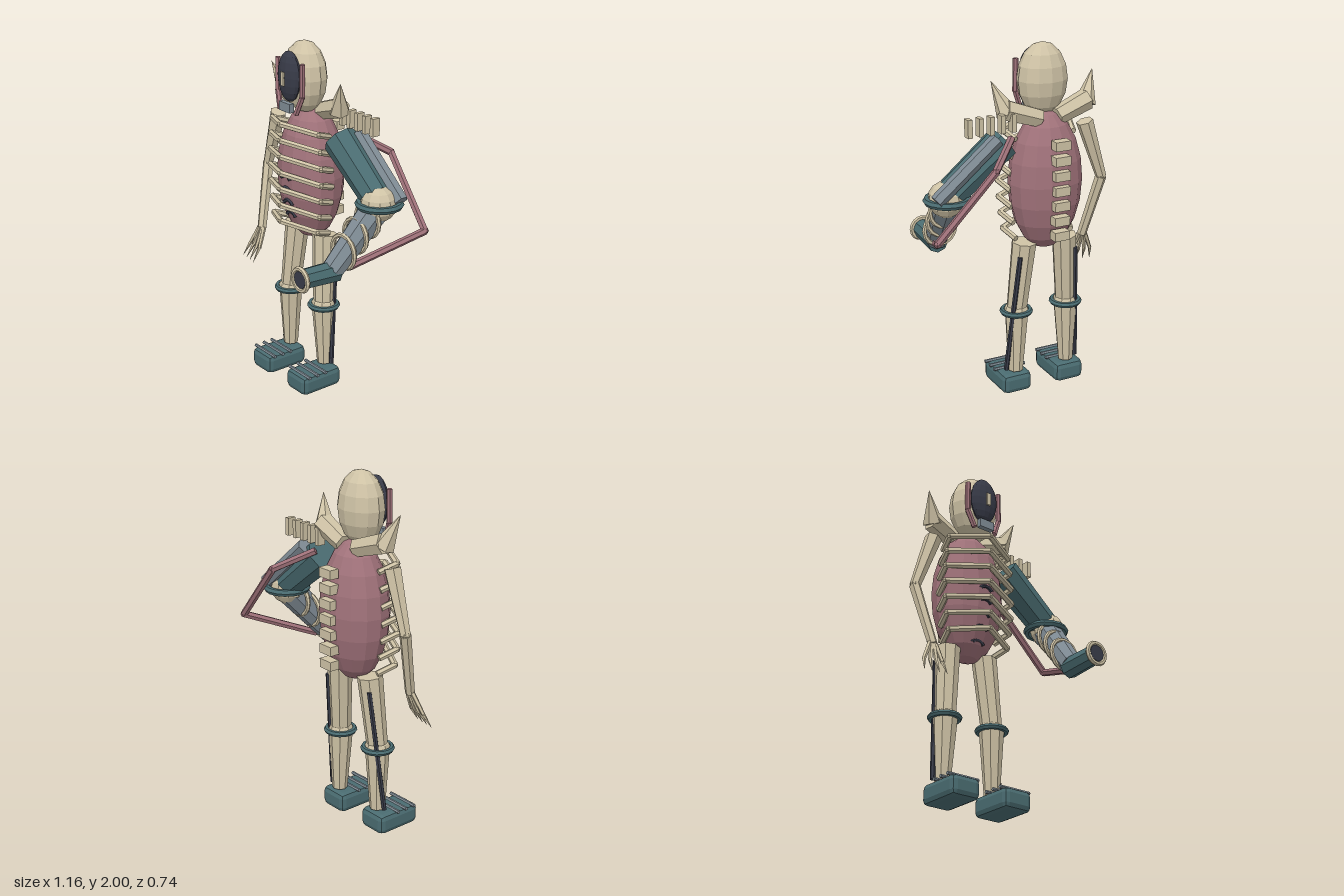
import * as THREE from 'three';
import { RoundedBoxGeometry } from 'three/addons/geometries/RoundedBoxGeometry.js';

const CX = -0.17; // centre line of the body

export function createModel() {
  const model = new THREE.Group();
  model.name = 'armouredSkeleton';
  const colour = (name, hex) => {
    const m = new THREE.MeshStandardMaterial({ color: hex });
    m.name = name;
    return m;
  };
  const bone = colour('bone', 0xcfc3a6);
  const flesh = colour('flesh', 0xa0727a);
  const teal = colour('teal', 0x4a6c71);
  const steel = colour('steel', 0x7f8b94);
  const dark = colour('dark', 0x383b48);

  // Adds a faceted mesh
  const add = (name, geo, mat, pos = [0, 0, 0]) => {
    const g = geo.index ? geo.toNonIndexed() : geo;
    g.computeVertexNormals();
    const mesh = new THREE.Mesh(g, mat);
    mesh.name = name;
    mesh.position.set(...pos);
    model.add(mesh);
    return mesh;
  };
  // Tapered limb between two points
  const limb = (name, a, b, ra, rb, mat, sides = 8) => {
    const A = new THREE.Vector3(...a), B = new THREE.Vector3(...b);
    const dir = B.clone().sub(A);
    const geo = new THREE.CylinderGeometry(rb, ra, dir.length(), sides);
    const mesh = add(name, geo, mat, A.clone().add(B).multiplyScalar(0.5).toArray());
    mesh.quaternion.setFromUnitVectors(new THREE.Vector3(0, 1, 0), dir.normalize());
    return mesh;
  };
  // Jointed pipe of straight pieces
  const pipe = (name, pts, r, mat, sides = 6) => {
    for (let i = 0; i < pts.length - 1; i++) {
      limb(name, pts[i], pts[i + 1], r, r, mat, sides);
      if (i) add(name + 'Joint', new THREE.SphereGeometry(r, sides, 4), mat, pts[i]);
    }
  };
  const ball = (name, pos, r, mat, w = 12, h = 8) =>
    add(name, new THREE.SphereGeometry(1, w, h).scale(...r), mat, pos);
  const box = (name, size, mat, pos) => add(name, new THREE.BoxGeometry(...size), mat, pos);
  const ring = (name, pos, R, r, mat, flat) => {
    const g = new THREE.TorusGeometry(R, r, 6, 16);
    return add(name, flat ? g.rotateX(Math.PI / 2) : g, mat, pos);
  };

  // Head, visor and mouth vent
  ball('head', [CX, 1.8, -0.078], [0.143, 0.2, 0.115], bone);
  ball('visor', [CX, 1.815, 0.025], [0.088, 0.14, 0.045], dark, 14, 10);
  box('visorSlit', [0.025, 0.075, 0.016], bone, [CX, 1.808, 0.068]);
  box('mouthVent', [0.095, 0.05, 0.03], steel, [CX, 1.65, 0.046]);

  // Torso and vertebrae
  ball('torso', [CX, 1.25, -0.12], [0.21, 0.39, 0.175], flesh, 14, 10);
  for (let i = 0; i < 7; i++) {
    box('vertebra', [0.09, 0.05, 0.056], bone, [CX, 1.49 - i * 0.084, -0.296]);
  }

  // Belly folds
  for (let i = 0; i < 5; i++) {
    const y = 1.235 - i * 0.075;
    const k = (y - 1.25) / 0.39;
    const z = -0.12 + 0.175 * Math.sqrt(1 - k * k);
    const fold = new THREE.TorusGeometry(0.045, 0.011, 5, 6, Math.PI * 0.66).rotateZ(Math.PI * 0.17);
    add('bellyFold', fold, dark, [CX, y - 0.02, z]);
  }

  // Ribs, higher at the front
  for (let i = 0; i < 7; i++) {
    const y = 1.56 - i * 0.094;
    const w = 0.195 + 0.036 * Math.sin((i + 0.7) / 7 * Math.PI);
    pipe('rib', [
      [CX - w + 0.03, y - 0.065, -0.11], [CX - w, y - 0.03, -0.01], [CX, y, 0.09],
      [CX + w, y - 0.03, -0.01], [CX + w - 0.03, y - 0.065, -0.11],
    ], 0.018, bone);
  }

  // Mirrored parts
  for (const s of [-1, 1]) {
    const p = (x, y, z) => [CX + s * x, y, z];

    // Cheek pipes
    pipe('cheekPipe', [p(0.108, 1.9, 0.02), p(0.108, 1.72, 0.022), p(0.07, 1.62, 0.035)], 0.016, flesh);

    // Shoulder horns
    limb('hornBase', p(0.05, 1.605, -0.15), p(0.245, 1.67, -0.13), 0.052, 0.06, bone, 6);
    limb('hornTip', p(0.235, 1.65, -0.13), p(0.305, 1.82, -0.08), 0.06, 0.001, bone, 6);

    // Legs
    limb('thigh', p(0.125, 0.91, -0.12), p(0.155, 0.5, -0.09), 0.07, 0.058, bone);
    ball('knee', p(0.155, 0.495, -0.09), [0.072, 0.05, 0.072], bone, 8, 6);
    limb('shin', p(0.155, 0.49, -0.09), p(0.162, 0.13, -0.093), 0.068, 0.043, bone);
    ring('kneeRing', p(0.157, 0.492, -0.09), 0.078, 0.016, teal, true);
    limb('legPiston', p(0.172, 0.84, -0.165), p(0.222, 0.14, -0.095), 0.014, 0.014, dark, 6);

    // Boots
    add('boot', new RoundedBoxGeometry(0.178, 0.115, 0.272, 1, 0.03), teal, p(0.167, 0.0595, -0.009));
    for (const z of [0.09, 0.032, -0.025]) {
      limb('bootBar', p(0.069, 0.117, z), p(0.265, 0.117, z), 0.01, 0.01, steel, 6);
    }
  }

  // Right arm and claw hand
  limb('rightUpperArm', [-0.43, 1.535, -0.09], [-0.54, 1.205, -0.095], 0.048, 0.03, bone, 6);
  ball('rightElbow', [-0.54, 1.205, -0.095], [0.031, 0.031, 0.031], bone, 6, 4);
  limb('rightForearm', [-0.54, 1.205, -0.095], [-0.48, 0.84, 0], 0.032, 0.027, bone, 6);
  for (let i = 0; i < 4; i++) {
    const k = i - 1.5;
    const mid = [-0.5 + k * 0.036, 0.73, 0.03 + i * 0.005];
    limb('finger', [-0.48 + k * 0.013, 0.845, 0], mid, 0.014, 0.011, bone, 5);
    limb('fingerTip', mid, [-0.512 + k * 0.043, 0.65, 0.07 + i * 0.007], 0.011, 0.001, bone, 5);
  }

  // Left upper arm with rail and fins
  limb('leftUpperArm', [0.085, 1.5, -0.12], [0.39, 1.26, -0.12], 0.096, 0.085, teal);
  limb('armRail', [0.155, 1.54, -0.195], [0.505, 1.25, -0.195], 0.04, 0.04, steel, 6);
  for (let i = 0; i < 5; i++) {
    box('armFin', [0.026, 0.098, 0.047], bone, [0.055 + i * 0.0635, 1.612, -0.172]);
  }
  ball('leftElbow', [0.415, 1.228, -0.115], [0.1, 0.1, 0.1], bone, 10, 8);
  ring('elbowRing', [0.412, 1.226, -0.125], 0.112, 0.02, teal, true);

  // Cannon forearm
  limb('cannonForearm', [0.41, 1.22, -0.12], [0.36, 0.9, 0.15], 0.085, 0.062, steel);
  for (const [x, y, z] of [[0.395, 1.145, -0.06], [0.381, 1.07, 0.01], [0.368, 0.99, 0.08]]) {
    ring('forearmRing', [x, y, z], 0.092, 0.013, bone);
  }
  limb('cannonBarrel', [0.36, 0.89, 0.125], [0.357, 0.9, 0.355], 0.06, 0.055, teal);
  ring('muzzleRing', [0.357, 0.9, 0.355], 0.06, 0.014, bone);
  add('muzzleBore', new THREE.CylinderGeometry(0.047, 0.047, 0.008, 12).rotateX(Math.PI / 2), dark, [0.357, 0.9, 0.358]);

  // Feed hose from shoulder to cannon
  pipe('feedHose', [
    [0.07, 1.53, -0.19], [0.24, 1.42, -0.35], [0.56, 1.07, -0.32], [0.4, 0.91, 0.07],
  ], 0.021, flesh);

  return model;
}
